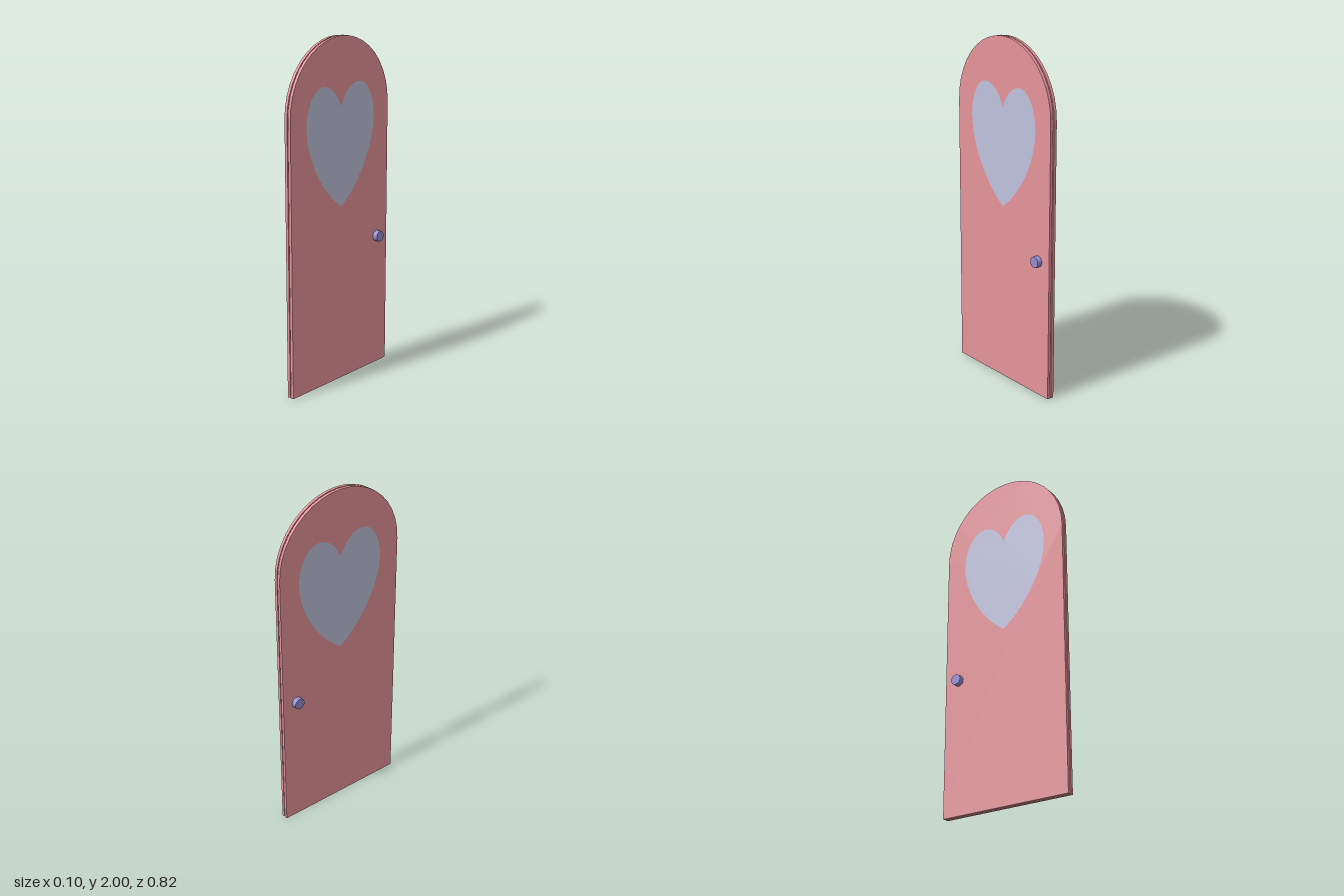
import * as THREE from 'three';

const R = 0.411, TOP = 2, THICK = 0.018, GAP = 0.003;

// Mirrored heart outline, drawn from the tip up one side and down the other
function heartCurve(path) {
  path.moveTo(0, 1.04);
  path.bezierCurveTo(0.13, 1.12, 0.285, 1.33, 0.285, 1.52);
  path.bezierCurveTo(0.285, 1.63, 0.23, 1.735, 0.15, 1.735);
  path.bezierCurveTo(0.09, 1.735, 0.035, 1.69, 0, 1.61);
  path.bezierCurveTo(-0.035, 1.69, -0.09, 1.735, -0.15, 1.735);
  path.bezierCurveTo(-0.23, 1.735, -0.285, 1.63, -0.285, 1.52);
  path.bezierCurveTo(-0.285, 1.33, -0.13, 1.12, 0, 1.04);
  return path;
}

// Arched door outline
function doorShape() {
  const s = new THREE.Shape();
  s.moveTo(-R, 0);
  s.lineTo(R, 0);
  s.lineTo(R, TOP - R);
  s.absarc(0, TOP - R, R, 0, Math.PI, false);
  s.lineTo(-R, 0);
  return s;
}

// Extrude a z-y outline along x, centred on x = 0
function slab(shape) {
  const g = new THREE.ExtrudeGeometry(shape, { depth: THICK, bevelEnabled: false, curveSegments: 10 });
  return g.translate(0, 0, -THICK / 2).rotateY(-Math.PI / 2);
}

export function createModel() {
  const mat = (name, color) => {
    const m = new THREE.MeshStandardMaterial({ color });
    m.name = name;
    return m;
  };
  const pink = mat('pink paint', 0xe5949a);
  const glass = mat('pale blue glass', 0xc0c2dd);
  const violet = mat('violet knob', 0x948dd0);

  const door = new THREE.Group();
  door.name = 'door';
  const add = (name, geometry, material, x, y, z) => {
    const mesh = new THREE.Mesh(geometry, material);
    mesh.name = name;
    mesh.position.set(x, y, z);
    door.add(mesh);
  };

  // Two thin leaves with a narrow gap, each with a flush heart window
  const leaf = doorShape();
  leaf.holes.push(heartCurve(new THREE.Path()));
  const leafGeometry = slab(leaf);
  const heartGeometry = slab(heartCurve(new THREE.Shape()));
  for (const [side, sign] of [['left', 1], ['right', -1]]) {
    const x = sign * (GAP + THICK / 2);
    add(side + 'Panel', leafGeometry, pink, x, 0, 0);
    add(side + 'HeartWindow', heartGeometry, glass, x, 0, 0);
  }

  // Knob passing through both leaves
  const knob = new THREE.CylinderGeometry(0.032, 0.032, 0.103, 16).rotateZ(Math.PI / 2);
  add('knob', knob, violet, 0, 0.798, -0.318);

  return door;
}
